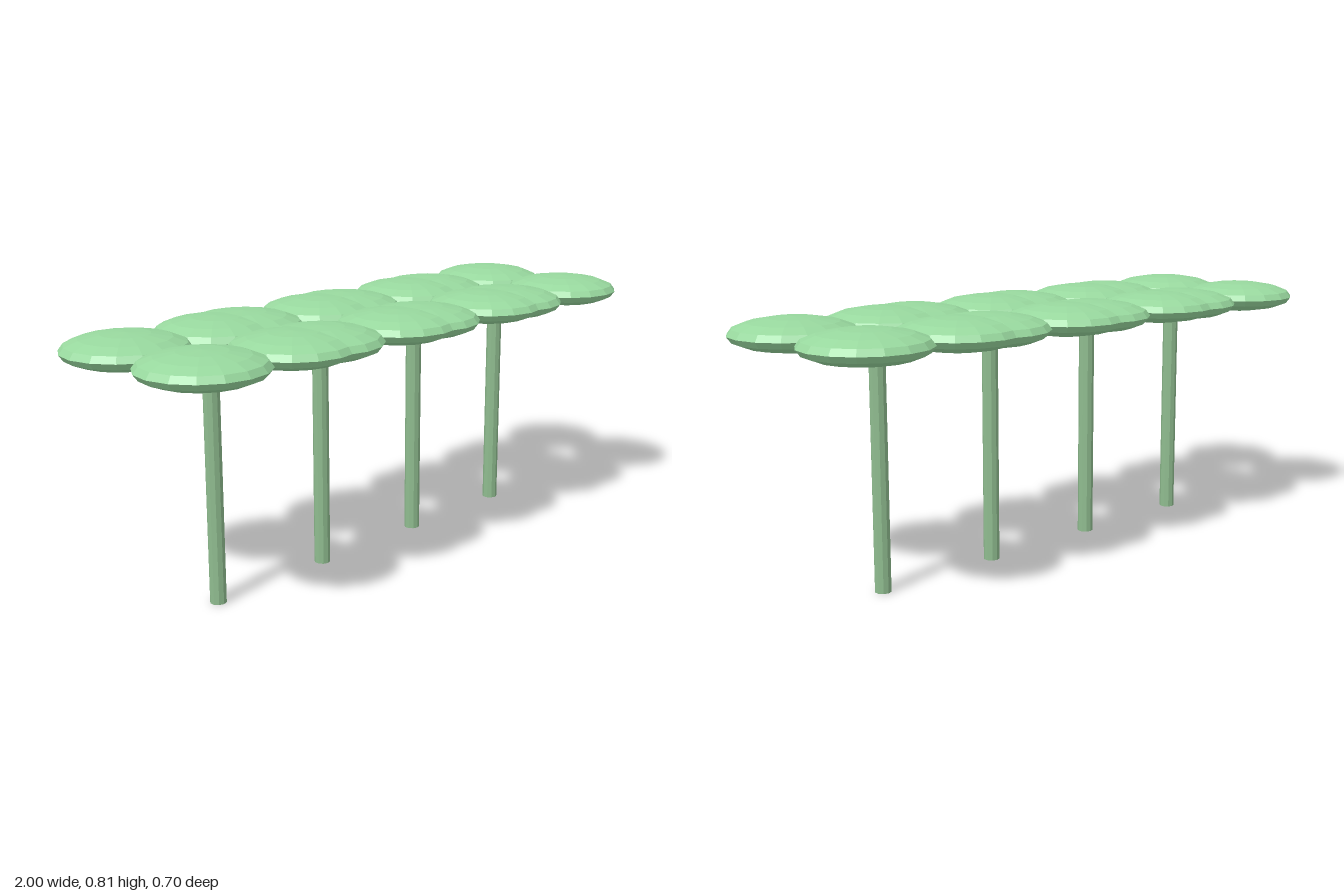
import * as THREE from 'three';

const POST_HEIGHT = 0.708;
const LEAF_RADIUS = 0.187;
const LEAF_HALF_HEIGHT = 0.049;
const LEAF_OFFSET = 0.163;
const SPACING = 0.433;

export function createModel() {
  const model = new THREE.Group();
  model.name = 'plantRow';

  const stemMaterial = new THREE.MeshStandardMaterial({ color: 0x8fbc8f, flatShading: true });
  const leafMaterial = new THREE.MeshStandardMaterial({ color: 0x98d89e, flatShading: true });

  // Stem standing on the ground, and a flattened low-poly ball for the leaf
  const stemGeometry = new THREE.CylinderGeometry(0.025, 0.025, POST_HEIGHT, 10);
  stemGeometry.translate(0, POST_HEIGHT / 2, 0);
  const leafGeometry = new THREE.SphereGeometry(1, 16, 8);
  leafGeometry.scale(LEAF_RADIUS, LEAF_HALF_HEIGHT, LEAF_RADIUS);

  // Four plants in a row, each a stem under four leaves
  for (let i = 0; i < 4; i++) {
    const plant = new THREE.Group();
    plant.name = `plant${i + 1}`;
    plant.position.x = (i - 1.5) * SPACING;

    const stem = new THREE.Mesh(stemGeometry, stemMaterial);
    stem.name = 'stem';
    plant.add(stem);

    for (const sx of [-1, 1]) {
      for (const sz of [-1, 1]) {
        const leaf = new THREE.Mesh(leafGeometry, leafMaterial);
        leaf.name = `${sz > 0 ? 'front' : 'back'}${sx > 0 ? 'Left' : 'Right'}Leaf`;
        leaf.position.set(sx * LEAF_OFFSET, 0.759, sz * LEAF_OFFSET);
        plant.add(leaf);
      }
    }
    model.add(plant);
  }
  return model;
}
